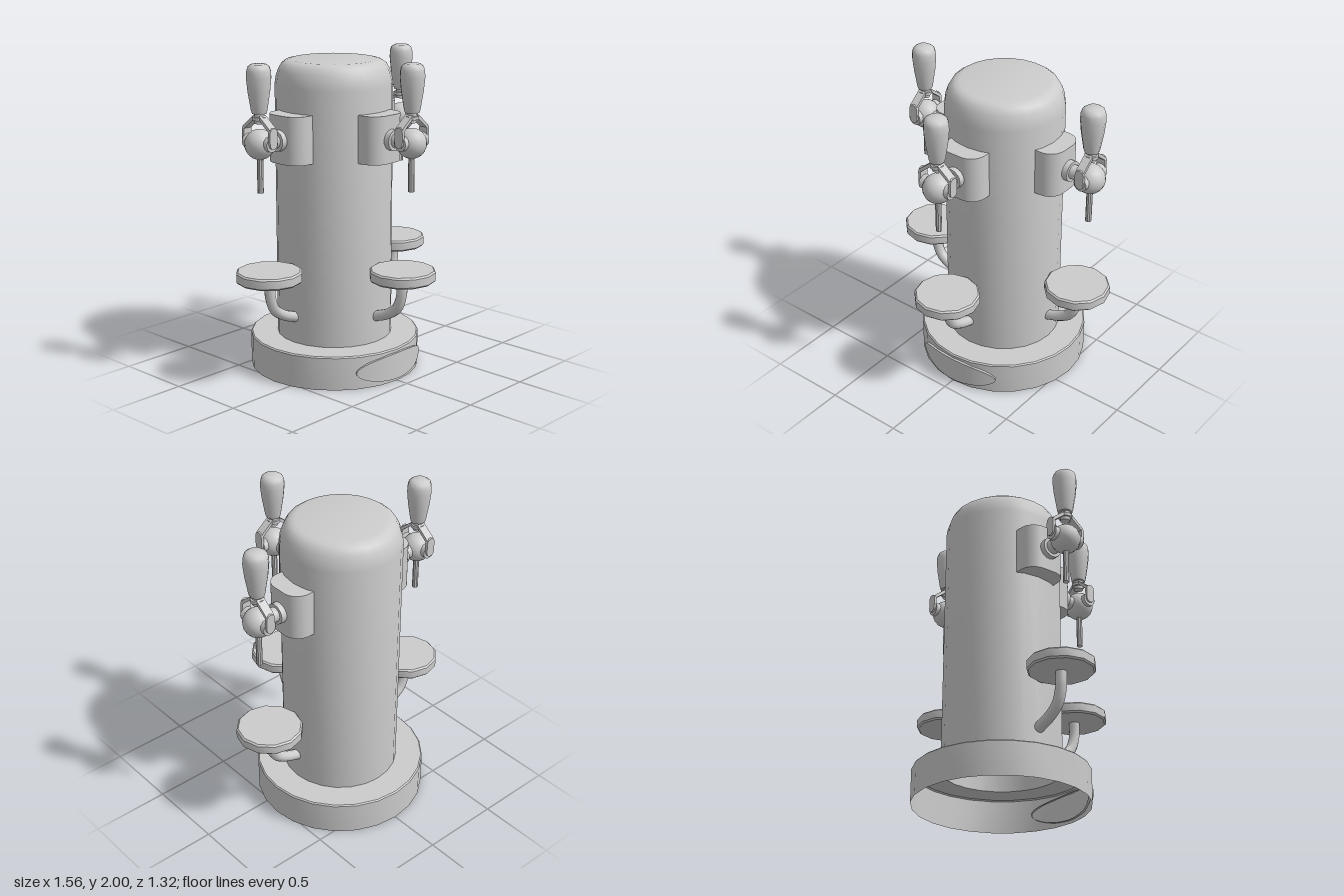
import * as THREE from 'three';
import { toCreasedNormals } from 'three/addons/utils/BufferGeometryUtils.js';

const material = new THREE.MeshStandardMaterial({ color: 0xcccccc, side: THREE.DoubleSide });

function add(parent, name, geometry, x = 0, y = 0, z = 0) {
  const mesh = new THREE.Mesh(geometry, material);
  mesh.name = name;
  mesh.position.set(x, y, z);
  parent.add(mesh);
  return mesh;
}

// Turned part from [radius, height] pairs, bottom to top
function turned(points, sides, crease = 0.6) {
  const profile = points.map(([r, y]) => new THREE.Vector2(r, y));
  return toCreasedNormals(new THREE.LatheGeometry(profile, sides), crease);
}

// Oval plate wrapped around the front of the base
function addBadge(parent) {
  const wrap = (geometry, radius) => {
    const p = geometry.attributes.position;
    for (let i = 0; i < p.count; i++) {
      const a = Math.asin((0.295 * p.getX(i)) / 0.552);
      const r = radius + p.getZ(i);
      p.setXYZ(i, r * Math.sin(a), 0.105 + 0.085 * p.getY(i), r * Math.cos(a));
    }
    geometry.computeVertexNormals();
    return geometry;
  };
  add(parent, 'badgeFace', wrap(new THREE.RingGeometry(0, 1, 40, 6), 0.552));
  add(parent, 'badgeRim', wrap(new THREE.CylinderGeometry(1, 1, 0.03, 40, 1, true).rotateX(Math.PI / 2), 0.537));
}

// Block with rounded outer corners that carries a tap
function mountGeometry() {
  const w = 0.143, back = 0.3, front = 0.475, r = 0.1;
  const s = new THREE.Shape();
  s.moveTo(-w, back);
  s.lineTo(w, back);
  s.lineTo(w, front - r);
  s.absarc(w - r, front - r, r, 0, Math.PI / 2, false);
  s.absarc(r - w, front - r, r, Math.PI / 2, Math.PI, false);
  s.closePath();
  const g = new THREE.ExtrudeGeometry(s, { depth: 0.295, bevelEnabled: false, curveSegments: 6 });
  return toCreasedNormals(g.rotateX(Math.PI / 2), 0.6);
}

// Side plate of the yoke, round at both ends
function yokePlateGeometry() {
  const s = new THREE.Shape();
  s.absarc(0, 0.035, 0.03, 0, Math.PI, false);
  s.absarc(0, -0.03, 0.03, Math.PI, Math.PI * 2, false);
  s.closePath();
  const g = new THREE.ExtrudeGeometry(s, { depth: 0.018, bevelEnabled: false, curveSegments: 6 });
  return g.translate(0, 0, -0.009).rotateY(Math.PI / 2);
}

function createTap() {
  const tap = new THREE.Group();
  tap.name = 'tap';
  const z = 0.635, y = 1.525;
  add(tap, 'mount', mountGeometry(), 0, 1.675, 0);

  // Shank from the mount to the valve
  const shank = turned([[0, 0], [0.065, 0], [0.065, 0.04], [0.045, 0.04], [0.045, 0.1], [0, 0.1]], 16);
  add(tap, 'shank', shank.rotateX(Math.PI / 2), 0, y, 0.47);

  // Valve ball, side pivots and spout
  add(tap, 'valve', new THREE.SphereGeometry(0.092, 16, 12), 0, y, z);
  const pivot = turned([[0, -0.108], [0.045, -0.108], [0.045, 0.108], [0, 0.108]], 12);
  add(tap, 'pivot', pivot.rotateZ(Math.PI / 2), 0, y + 0.01, z);
  add(tap, 'spout', turned([[0, 0], [0.019, 0], [0.019, 0.24], [0, 0.24]], 10), 0, 1.23, z);

  // Yoke straddling the valve
  for (const side of [-1, 1]) {
    add(tap, 'yokePlate', yokePlateGeometry(), side * 0.112, 1.57, z);
    const strut = add(tap, 'yokeStrut', new THREE.BoxGeometry(0.115, 0.02, 0.055), side * 0.065, 1.655, z);
    strut.rotation.z = -side * 0.68;
  }

  // Neck and tapered handle
  add(tap, 'neck', turned([[0, 1.65], [0.03, 1.65], [0.03, 1.67], [0.042, 1.67], [0.042, 1.69],
    [0.03, 1.69], [0.03, 1.72], [0, 1.72]], 14), 0, 0, z);
  add(tap, 'handle', turned([[0, 1.71], [0.044, 1.71], [0.05, 1.73], [0.068, 1.84], [0.076, 1.92],
    [0.074, 1.96], [0.066, 1.985], [0.045, 2], [0, 2]], 12, 0.8), 0, 0, z);
  return tap;
}

function createTray() {
  const tray = new THREE.Group();
  tray.name = 'tray';
  add(tray, 'trayDisc', turned([[0, 0.665], [0.195, 0.665], [0.205, 0.675], [0.205, 0.725],
    [0.195, 0.735], [0, 0.735]], 12), 0, 0, 0.575);
  const path = new THREE.CatmullRomCurve3([[0.375, 0.33], [0.387, 0.37], [0.42, 0.46], [0.475, 0.535], [0.57, 0.57],
    [0.67, 0.573]].map(([y, z]) => new THREE.Vector3(0, y, z)));
  add(tray, 'trayArm', new THREE.TubeGeometry(path, 14, 0.034, 10));
  return tray;
}

export function createModel() {
  const model = new THREE.Group();
  model.name = 'drinkTower';
  const tower = new THREE.Group();
  tower.name = 'tower';
  tower.position.z = -0.12;
  model.add(tower);

  // Hollow base and open-bottomed column
  add(tower, 'base', turned([[0.54, 0], [0.54, 0.207], [0.532, 0.215], [0.367, 0.215]], 24));
  add(tower, 'column', turned([[0.367, 0.215], [0.367, 1.82], [0.36, 1.865], [0.345, 1.91], [0.325, 1.945],
    [0.3, 1.963], [0.27, 1.97], [0, 1.97]], 24));
  addBadge(tower);

  // One tap and tray at the front, left and right
  for (const turn of [0, Math.PI / 2, -Math.PI / 2]) {
    const station = new THREE.Group();
    station.name = 'station';
    station.rotation.y = turn;
    station.add(createTap(), createTray());
    tower.add(station);
  }
  return model;
}
